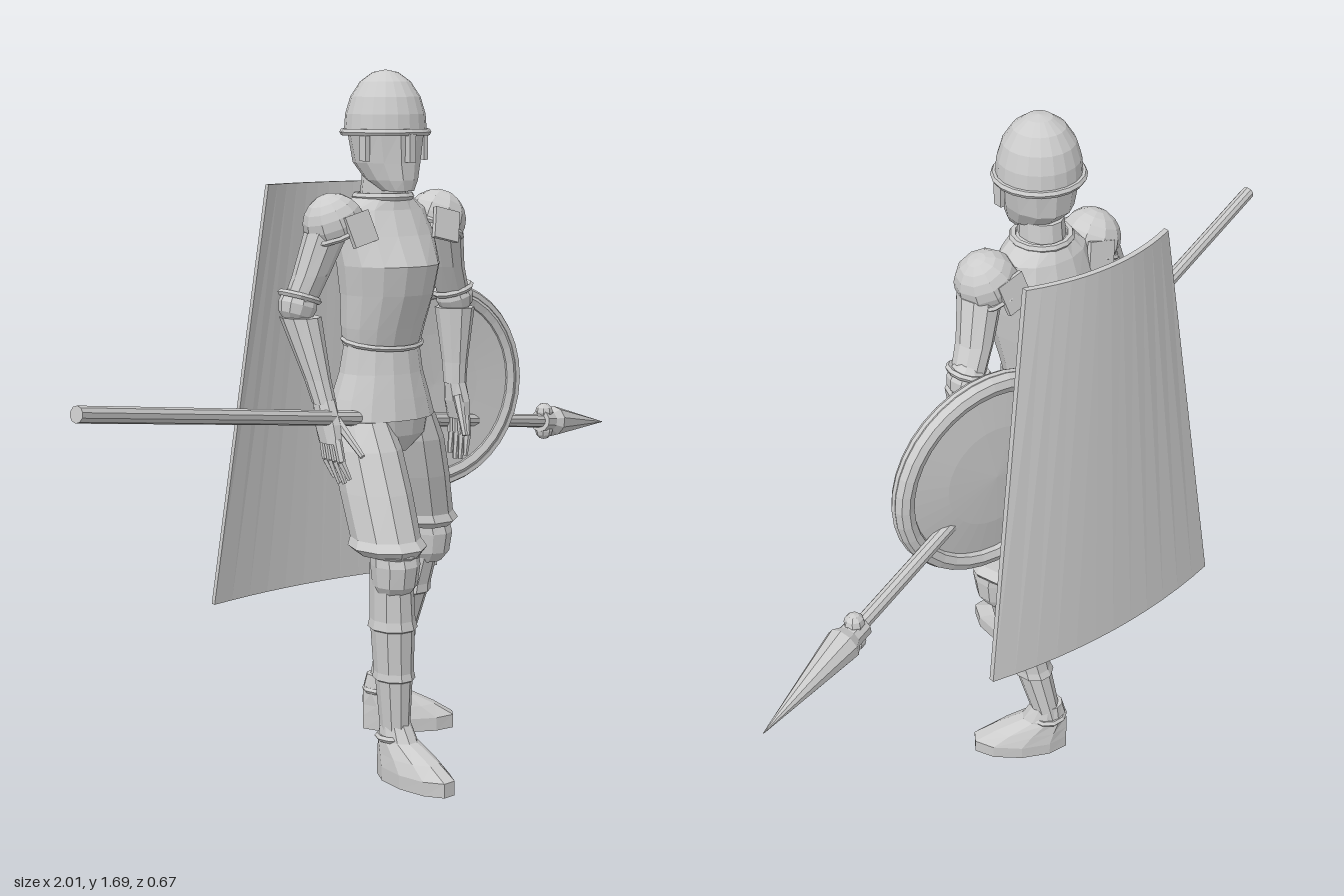
import * as THREE from 'three';

const steel = new THREE.MeshStandardMaterial({ color: 0xcccccc, flatShading: true, side: THREE.DoubleSide });
steel.name = 'light grey';

// Stacked ellipse rings [x, y, z, radiusX, radiusZ], listed from low to high, capped at both ends
function loft(rings, sides = 12) {
  const pos = [], index = [];
  for (const [x, y, z, rx, rz] of rings)
    for (let i = 0; i < sides; i++) {
      const a = (i + 0.5) / sides * Math.PI * 2;
      pos.push(x + rx * Math.sin(a), y, z + rz * Math.cos(a));
    }
  const last = rings.length - 1;
  pos.push(...rings[0].slice(0, 3), ...rings[last].slice(0, 3));
  const low = rings.length * sides;
  for (let i = 0; i < sides; i++) {
    const j = (i + 1) % sides;
    for (let k = 0; k < last; k++) {
      const a = k * sides + i, b = k * sides + j;
      index.push(a, b, b + sides, a, b + sides, a + sides);
    }
    index.push(low, j, i, low + 1, last * sides + i, last * sides + j);
  }
  const g = new THREE.BufferGeometry();
  g.setAttribute('position', new THREE.Float32BufferAttribute(pos, 3));
  g.setIndex(index);
  g.computeVertexNormals();
  return g;
}

function add(parent, name, geometry, x = 0, y = 0, z = 0) {
  const m = new THREE.Mesh(geometry, steel);
  m.name = name;
  m.position.set(x, y, z);
  parent.add(m);
  return m;
}

// Tapered rod between two points
function rod(parent, name, from, to, r0, r1, sides = 8) {
  const a = new THREE.Vector3(...from), b = new THREE.Vector3(...to);
  const d = b.clone().sub(a);
  const m = add(parent, name, new THREE.CylinderGeometry(r1, r0, d.length(), sides));
  m.position.copy(a).add(b).multiplyScalar(0.5);
  m.quaternion.setFromUnitVectors(new THREE.Vector3(0, 1, 0), d.normalize());
  return m;
}

function buildHead(root) {
  const head = new THREE.Group();
  head.name = 'head';
  head.position.x = -0.01;
  root.add(head);
  add(head, 'neck', loft([[0, 1.34, -0.015, 0.055, 0.06], [0, 1.44, -0.005, 0.05, 0.06]]));
  add(head, 'face', loft([[0, 1.405, 0.05, 0.038, 0.04], [0, 1.43, 0.025, 0.058, 0.07],
    [0, 1.47, 0.004, 0.075, 0.09], [0, 1.55, 0, 0.09, 0.097]]));
  const profile = [[0.098, 0], [0.095, 0.04], [0.083, 0.08], [0.06, 0.115], [0.03, 0.137], [0, 0.143]];
  add(head, 'helmet', new THREE.LatheGeometry(profile.map(p => new THREE.Vector2(...p)), 20), 0, 1.543);
  const rim = add(head, 'helmetRim', new THREE.TorusGeometry(0.1, 0.009, 6, 20), 0, 1.541);
  rim.rotation.x = Math.PI / 2;
  add(head, 'noseGuard', new THREE.BoxGeometry(0.018, 0.065, 0.02), 0, 1.505, 0.1);
  for (const s of [-1, 1]) add(head, 'cheekGuard', new THREE.BoxGeometry(0.012, 0.06, 0.025), s * 0.085, 1.505, 0.035);
}

function buildTorso(root) {
  add(root, 'breastplate', loft([[-0.01, 1.035, -0.015, 0.1, 0.08], [-0.01, 1.08, -0.01, 0.107, 0.09],
    [-0.005, 1.16, 0, 0.117, 0.108], [-0.005, 1.23, 0.005, 0.127, 0.12], [-0.005, 1.3, -0.015, 0.13, 0.103],
    [-0.005, 1.36, -0.018, 0.11, 0.08], [-0.008, 1.395, -0.012, 0.065, 0.067]], 14));
  const collar = add(root, 'collar', new THREE.TorusGeometry(0.066, 0.01, 6, 14), -0.008, 1.39, -0.012);
  collar.rotation.x = Math.PI / 2;
  const edge = add(root, 'breastplateEdge', new THREE.TorusGeometry(0.1, 0.007, 5, 16), -0.01, 1.045, -0.013);
  edge.rotation.x = Math.PI / 2 + 0.15;
  edge.scale.y = 0.85;
  add(root, 'faulds', loft([[-0.01, 0.86, -0.02, 0.142, 0.108], [-0.01, 0.91, -0.02, 0.128, 0.1],
    [-0.01, 0.97, -0.018, 0.108, 0.088], [-0.01, 1.05, -0.015, 0.096, 0.075]], 14));
  add(root, 'hips', loft([[-0.005, 0.775, -0.015, 0.06, 0.055], [-0.005, 0.82, -0.015, 0.115, 0.085],
    [-0.01, 0.88, -0.02, 0.132, 0.1]], 14));
}

// Arm through elbow, wrist and fingertip; s is +1 for the left side
function buildArm(root, s, name, elbow, wrist, tip) {
  const arm = new THREE.Group();
  arm.name = name;
  root.add(arm);
  const [ex, ey, ez] = elbow, [wx, wy, wz] = wrist;
  const pad = add(arm, 'pauldron', new THREE.SphereGeometry(0.074, 10, 6, 0, Math.PI * 2, 0, Math.PI * 0.58), s * 0.15, 1.328, -0.012);
  pad.rotation.z = -s * 0.4;
  const padRim = add(pad, 'pauldronRim', new THREE.TorusGeometry(0.073, 0.007, 5, 12), 0, -0.018, 0);
  padRim.rotation.x = Math.PI / 2;
  for (const f of [-1, 1]) {
    const wing = add(arm, 'pauldronWing', new THREE.BoxGeometry(0.07, 0.075, 0.012), s * 0.125, 1.32, -0.01 + f * 0.072);
    wing.rotation.set(-f * 0.25, 0, -s * 0.25);
  }
  add(arm, 'upperArm', loft([[ex, ey, ez, 0.039, 0.04], [s * 0.205, 1.21, ez * 0.65, 0.043, 0.046],
    [s * 0.17, 1.31, -0.015, 0.052, 0.054]], 10));
  const cop = add(arm, 'elbowGuard', new THREE.SphereGeometry(0.047, 10, 6), ex, ey + 0.005, ez);
  cop.rotation.z = s * 0.3;
  const copRim = add(cop, 'elbowRim', new THREE.TorusGeometry(0.046, 0.008, 5, 12), 0, 0.02, 0);
  copRim.rotation.x = Math.PI / 2;
  const mix = (t) => [ex + (wx - ex) * t, ey + (wy - ey) * t, ez + (wz - ez) * t];
  add(arm, 'gauntletCuff', loft([[...mix(1), 0.028, 0.03], [...mix(0.75), 0.031, 0.034],
    [...mix(0.35), 0.042, 0.045], [...mix(0.1), 0.049, 0.052]], 10));
  // Palm, four fingers and thumb
  const hand = new THREE.Group();
  hand.name = 'hand';
  arm.add(hand);
  const [tx, ty, tz] = tip, kx = (wx + tx) / 2 + s * 0.008, ky = wy - 0.09, kz = (wz + tz) / 2;
  add(hand, 'palm', loft([[kx, ky, kz, 0.02, 0.04], [(wx + kx) / 2, wy - 0.045, (wz + kz) / 2, 0.026, 0.043],
    [wx, wy + 0.01, wz, 0.026, 0.028]], 8));
  for (let i = 0; i < 4; i++) {
    const o = (i - 1.5) * 0.019, drop = Math.abs(i - 1.4) * 0.012;
    const mid = [kx, ky - 0.04, (kz + tz) / 2 + o * 1.1];
    rod(hand, 'finger', [kx, ky + 0.01, kz + o], mid, 0.011, 0.01, 6);
    rod(hand, 'fingertip', mid, [tx, ty + drop, tz + o * 1.1], 0.01, 0.006, 6);
  }
  rod(hand, 'thumb', [wx - s * 0.01, wy - 0.03, wz + 0.025], [tx - s * 0.02, ty + 0.075, tz + 0.055], 0.013, 0.007, 6);
}

// Leg through hip, knee and ankle, with the foot turned by angle turn
function buildLeg(root, name, hip, knee, ankle, turn) {
  const leg = new THREE.Group();
  leg.name = name;
  root.add(leg);
  const at = (a, b, t) => a.map((v, i) => v + (b[i] - v) * t);
  const thigh = (t) => at(hip, knee, t), shin = (t) => at(knee, ankle, t);
  add(leg, 'thighGuard', loft([[...thigh(0.93), 0.072, 0.085], [...thigh(0.88), 0.09, 0.103], [...thigh(0.82), 0.08, 0.092],
    [...thigh(0.5), 0.082, 0.096], [...thigh(0.2), 0.08, 0.094], [...thigh(0), 0.065, 0.08]], 10));
  const [kx, ky, kz] = knee;
  const front = new THREE.Group();
  front.name = 'kneeGuard';
  front.position.set(kx, ky, kz);
  front.rotation.y = turn * 0.5;
  leg.add(front);
  add(front, 'kneeCup', loft([[0, -0.075, 0.005, 0.04, 0.045], [0, -0.05, 0.015, 0.053, 0.055], [0, 0, 0.016, 0.058, 0.062],
    [0, 0.03, 0.012, 0.057, 0.057], [0, 0.065, 0, 0.052, 0.055]], 10));
  const kneeRim = add(front, 'kneeRim', new THREE.TorusGeometry(0.058, 0.007, 5, 12), 0, 0.03, 0.012);
  kneeRim.rotation.x = Math.PI / 2 + 0.1;
  add(leg, 'greave', loft([[...shin(0.98), 0.033, 0.04], [...shin(0.66), 0.042, 0.05], [...shin(0.65), 0.049, 0.057],
    [...shin(0.61), 0.046, 0.053], [...shin(0.37), 0.05, 0.058], [...shin(0.36), 0.057, 0.065],
    [...shin(0.31), 0.052, 0.06], [...shin(0), 0.048, 0.056]], 10));
  const foot = add(leg, 'foot', loft([[0, 0, 0.07, 0.052, 0.123], [0, 0.035, 0.07, 0.054, 0.123],
    [0, 0.065, 0.045, 0.048, 0.097], [0, 0.1, 0.008, 0.04, 0.058], [0, 0.145, 0, 0.033, 0.038]], 10), ankle[0], 0, ankle[2]);
  foot.rotation.y = turn;
  const strap = add(leg, 'ankleBand', new THREE.TorusGeometry(0.042, 0.008, 5, 10), ankle[0], 0.105, ankle[2]);
  strap.rotation.x = Math.PI / 2;
}

function buildShield(root) {
  const shield = new THREE.Group();
  shield.name = 'shield';
  shield.position.set(0.233, 0.9, -0.128);
  shield.rotation.y = -0.05;
  root.add(shield);
  const profile = [[0, -0.004], [0.13, -0.008], [0.235, -0.014], [0.235, 0.004], [0.13, 0.018], [0, 0.024]];
  const disc = new THREE.LatheGeometry(profile.map(p => new THREE.Vector2(...p)), 32);
  add(shield, 'shieldDisc', disc.rotateX(-Math.PI / 2));
  add(shield, 'shieldRim', new THREE.TorusGeometry(0.238, 0.024, 8, 36));
  add(shield, 'shieldEdge', new THREE.TorusGeometry(0.252, 0.012, 6, 36), 0, 0, 0.012);
}

function buildSpear(root) {
  const butt = new THREE.Vector3(-1, 1.005, 0.322), tip = new THREE.Vector3(1, 0.697, -0.335);
  const at = (t) => butt.clone().lerp(tip, t).toArray();
  const spear = new THREE.Group();
  spear.name = 'spear';
  root.add(spear);
  rod(spear, 'shaft', at(0), at(0.88), 0.018, 0.018, 10);
  rod(spear, 'spearhead', at(0.868), at(1), 0.042, 0.001, 10);
  rod(spear, 'spearSocket', at(0.853), at(0.868), 0.024, 0.042, 10);
  rod(spear, 'spearCollar', at(0.838), at(0.858), 0.03, 0.03, 10);
  const [x, y, z] = at(0.848);
  for (const s of [-1, 1]) add(spear, 'lug', new THREE.SphereGeometry(0.024, 8, 6), x, y + s * 0.026, z);
}

function buildCape(root) {
  // Thin sheet, wider at the hem and bowed backwards
  const g = new THREE.BoxGeometry(1, 1, 0.014, 12, 1, 1), p = g.attributes.position;
  for (let i = 0; i < p.count; i++) {
    const u = p.getX(i) * 2, t = p.getY(i) + 0.5;
    p.setXYZ(i, -0.011 + u * (0.344 - 0.141 * t), 0.39 + 1.025 * t, -0.287 + 0.045 * t + 0.04 * u * u + p.getZ(i));
  }
  g.computeVertexNormals();
  add(root, 'cape', g);
}

export function createModel() {
  const root = new THREE.Group();
  root.name = 'armouredSoldier';
  buildHead(root);
  buildTorso(root);
  buildArm(root, -1, 'rightArm', [-0.232, 1.135, -0.045], [-0.212, 0.915, 0.035], [-0.2, 0.725, 0.09]);
  buildArm(root, 1, 'leftArm', [0.247, 1.125, -0.06], [0.238, 0.915, -0.045], [0.24, 0.715, -0.035]);
  buildLeg(root, 'rightLeg', [-0.08, 0.86, -0.005], [-0.095, 0.535, 0.14], [-0.08, 0.1, 0.137], 0.12);
  buildLeg(root, 'leftLeg', [0.075, 0.86, -0.03], [0.175, 0.535, -0.095], [0.113, 0.1, -0.19], 0.98);
  buildShield(root);
  buildSpear(root);
  buildCape(root);
  return root;
}
